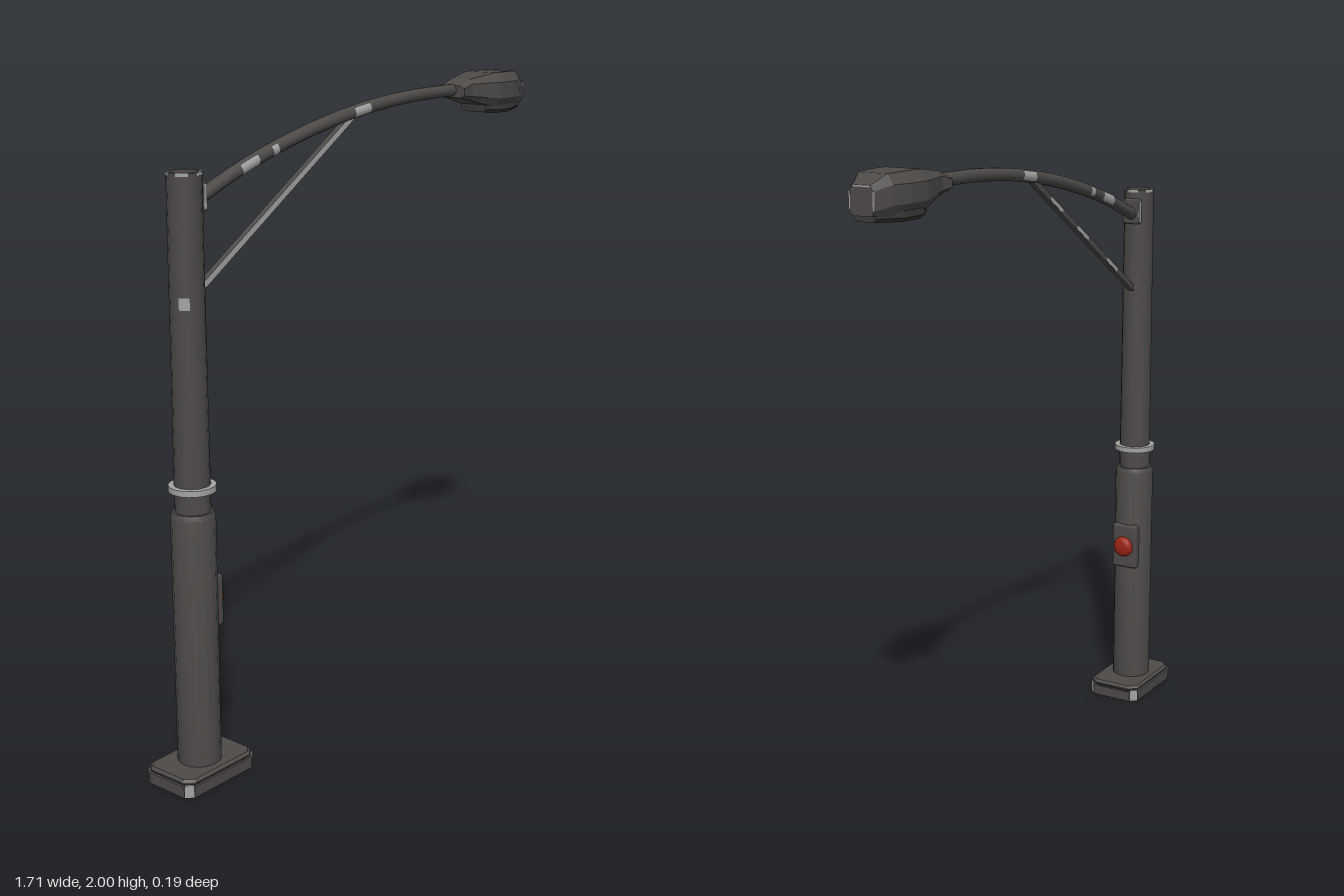
import * as THREE from 'three';
import { toCreasedNormals } from 'three/addons/utils/BufferGeometryUtils.js';
import { RoundedBoxGeometry } from 'three/addons/geometries/RoundedBoxGeometry.js';

const POLE_X = -0.72;

// Eight-sided loft along x; each section is [x, halfWidth, yBottom, yTop, bevel]
function loftX(sections) {
  const pos = [], idx = [], n = 8;
  for (const [x, w, yb, yt, d] of sections) {
    const half = [[yb, w * 0.78], [yb + d, w], [yt - d, w], [yt, w * 0.7]];
    for (const [y, z] of half) pos.push(x, y, z);
    for (const [y, z] of half.slice().reverse()) pos.push(x, y, -z);
  }
  for (let i = 0; i < sections.length - 1; i++)
    for (let j = 0; j < n; j++) {
      const a = i * n + j, d = i * n + (j + 1) % n, b = a + n, c = d + n;
      idx.push(a, b, c, a, c, d);
    }
  const last = (sections.length - 1) * n;
  for (let j = 1; j < n - 1; j++) idx.push(0, j, j + 1, last, last + j + 1, last + j);
  const g = new THREE.BufferGeometry();
  g.setAttribute('position', new THREE.Float32BufferAttribute(pos, 3));
  g.setIndex(idx);
  return toCreasedNormals(g, 0.2);
}

// Rectangle with cut corners
function cutRect(target, w, d, c) {
  const pts = [[-w + c, -d], [w - c, -d], [w, -d + c], [w, d - c], [w - c, d], [-w + c, d], [-w, d - c], [-w, -d + c]];
  return target.setFromPoints(pts.map(p => new THREE.Vector2(p[0], p[1])));
}

export function createModel() {
  const group = new THREE.Group();
  const iron = new THREE.MeshStandardMaterial({ color: 0x4d4a48 });
  const darkIron = new THREE.MeshStandardMaterial({ color: 0x3b3937 });
  const wornMetal = new THREE.MeshStandardMaterial({ color: 0xa3a3a1 });
  const wornPatch = new THREE.MeshStandardMaterial({ color: 0xa3a3a1, side: THREE.DoubleSide });
  const red = new THREE.MeshStandardMaterial({ color: 0x9c2416 });
  iron.name = 'iron'; darkIron.name = 'darkIron'; wornMetal.name = 'wornMetal';
  wornPatch.name = 'wornPatch'; red.name = 'red';

  const add = (name, geo, mat, x = 0, y = 0, z = 0) => {
    const m = new THREE.Mesh(geo, mat);
    m.name = name;
    m.position.set(x, y, z);
    group.add(m);
    return m;
  };

  // Base plate, hollow underneath
  const bx = -0.715, c = 0.022;
  const frame = cutRect(new THREE.Shape(), 0.143, 0.094, c);
  frame.holes.push(cutRect(new THREE.Path(), 0.115, 0.07, c));
  const rim = new THREE.ExtrudeGeometry(frame, { depth: 0.035, bevelEnabled: false });
  add('baseRim', rim.rotateX(-Math.PI / 2), iron, bx);
  const lid = new THREE.ExtrudeGeometry(cutRect(new THREE.Shape(), 0.135, 0.086, c),
    { depth: 0.004, bevelEnabled: true, bevelThickness: 0.008, bevelSize: 0.008, bevelSegments: 1 });
  add('baseTop', lid.rotateX(-Math.PI / 2), iron, bx, 0.043);

  // Worn corners of the base
  for (const sx of [-1, 1]) for (const sz of [-1, 1]) {
    const corner = add('wornBaseCorner', new THREE.BoxGeometry(0.027, 0.04, 0.004), wornMetal,
      bx + sx * (0.143 - c / 2), 0.022, sz * (0.094 - c / 2));
    corner.rotation.y = Math.atan2(sx, sz);
  }

  // Stepped pole with a recessed top
  const profile = [[0, 0.005], [0.066, 0.005], [0.066, 0.825], [0.06, 0.84], [0.053, 0.84], [0.053, 0.9],
    [0.0515, 1.2], [0.05, 1.815], [0.042, 1.815], [0.042, 1.795], [0, 1.795]];
  const pole = new THREE.LatheGeometry(profile.map(p => new THREE.Vector2(...p)), 16);
  add('pole', toCreasedNormals(pole, 0.5), iron, POLE_X);
  add('collar', new THREE.CylinderGeometry(0.07, 0.07, 0.018, 20), wornMetal, POLE_X, 0.91);

  // Worn spots on the pole
  add('polePatch', new THREE.CylinderGeometry(0.0525, 0.0525, 0.035, 6, 1, true, -1.25, 0.6), wornPatch, POLE_X, 1.455);
  for (let i = 0; i < 5; i++) {
    const edge = new THREE.CylinderGeometry(0.0512, 0.0512, 0.01, 4, 1, true, i * 1.257, 0.7);
    add('wornPoleRim', edge, wornPatch, POLE_X, 1.811);
    const ring = new THREE.RingGeometry(0.043, 0.05, 5, 1, i * 1.257, 0.7).rotateX(-Math.PI / 2);
    add('wornPoleTop', ring, wornPatch, POLE_X, 1.8165);
  }

  // Control box and its red button
  add('controlBox', new RoundedBoxGeometry(0.05, 0.16, 0.094, 1, 0.01), iron, -0.672, 0.555);
  const button = [[0.036, 0], [0.036, 0.008], [0.031, 0.017], [0.018, 0.022], [0, 0.023]];
  const buttonGeo = new THREE.LatheGeometry(button.map(p => new THREE.Vector2(...p)), 16);
  add('button', buttonGeo.rotateZ(-Math.PI / 2), red, -0.649, 0.555);

  // Bracket holding the arm
  add('armBracket', new RoundedBoxGeometry(0.03, 0.085, 0.06, 1, 0.006), iron, -0.677, 1.743);
  for (const s of [-1, 1])
    add('wornBracketEdge', new THREE.BoxGeometry(0.012, 0.07, 0.005), wornMetal, -0.67, 1.743, s * 0.029);

  // Curved arm
  const curve = new THREE.CatmullRomCurve3([[-0.68, 1.73], [-0.468, 1.809], [-0.2, 1.881],
    [0.045, 1.925], [0.28, 1.947], [0.53, 1.952]].map(p => new THREE.Vector3(p[0], p[1], 0)));
  add('arm', new THREE.TubeGeometry(curve, 24, 0.02, 10), iron);
  for (const [t, len] of [[0.18, 0.075], [0.595, 0.075], [0.27, 0.025]]) {
    const p = curve.getPointAt(t), d = curve.getTangentAt(t);
    for (const turn of [0, Math.PI]) {
      const geo = new THREE.CylinderGeometry(0.0212, 0.0212, len, 6, 1, true, turn - 0.8, 1.6);
      add('armPatch', geo, wornPatch, p.x, p.y).rotation.z = Math.atan2(d.y, d.x) - Math.PI / 2;
    }
  }

  // Diagonal brace, worn bare on its front
  const from = new THREE.Vector2(-0.68, 1.477), to = new THREE.Vector2(-0.01, 1.905);
  const span = to.clone().sub(from);
  const brace = add('brace', new THREE.BoxGeometry(span.length(), 0.019, 0.019),
    [iron, iron, iron, iron, wornMetal, iron], (from.x + to.x) / 2, (from.y + to.y) / 2);
  brace.rotation.z = span.angle();
  for (const s of [-0.25, 0.05, 0.3]) {
    const patch = new THREE.Mesh(new THREE.BoxGeometry(0.09, 0.012, 0.002), wornMetal);
    patch.name = 'bracePatch';
    patch.position.set(s * span.length(), 0, -0.0097);
    brace.add(patch);
  }

  // Lamp head and its lens
  add('lampHead', loftX([
    [0.503, 0.052, 1.928, 1.966, 0.008],
    [0.55, 0.05, 1.916, 1.984, 0.014],
    [0.665, 0.083, 1.888, 2.0, 0.03],
    [0.74, 0.081, 1.888, 2.0, 0.03],
    [0.8, 0.066, 1.888, 1.998, 0.028],
    [0.853, 0.04, 1.89, 1.97, 0.014],
  ]), iron);
  add('lens', loftX([
    [0.628, 0.05, 1.873, 1.91, 0.01],
    [0.67, 0.072, 1.868, 1.91, 0.012],
    [0.75, 0.07, 1.868, 1.91, 0.012],
    [0.838, 0.036, 1.873, 1.91, 0.01],
  ]), darkIron);

  // Worn edges on the lamp tip
  for (const s of [-1, 1])
    add('wornLampEdge', new THREE.BoxGeometry(0.005, 0.05, 0.005), wornMetal, 0.851, 1.93, s * 0.039);
  add('wornLampTip', new THREE.BoxGeometry(0.005, 0.005, 0.055), wornMetal, 0.851, 1.969);

  return group;
}
